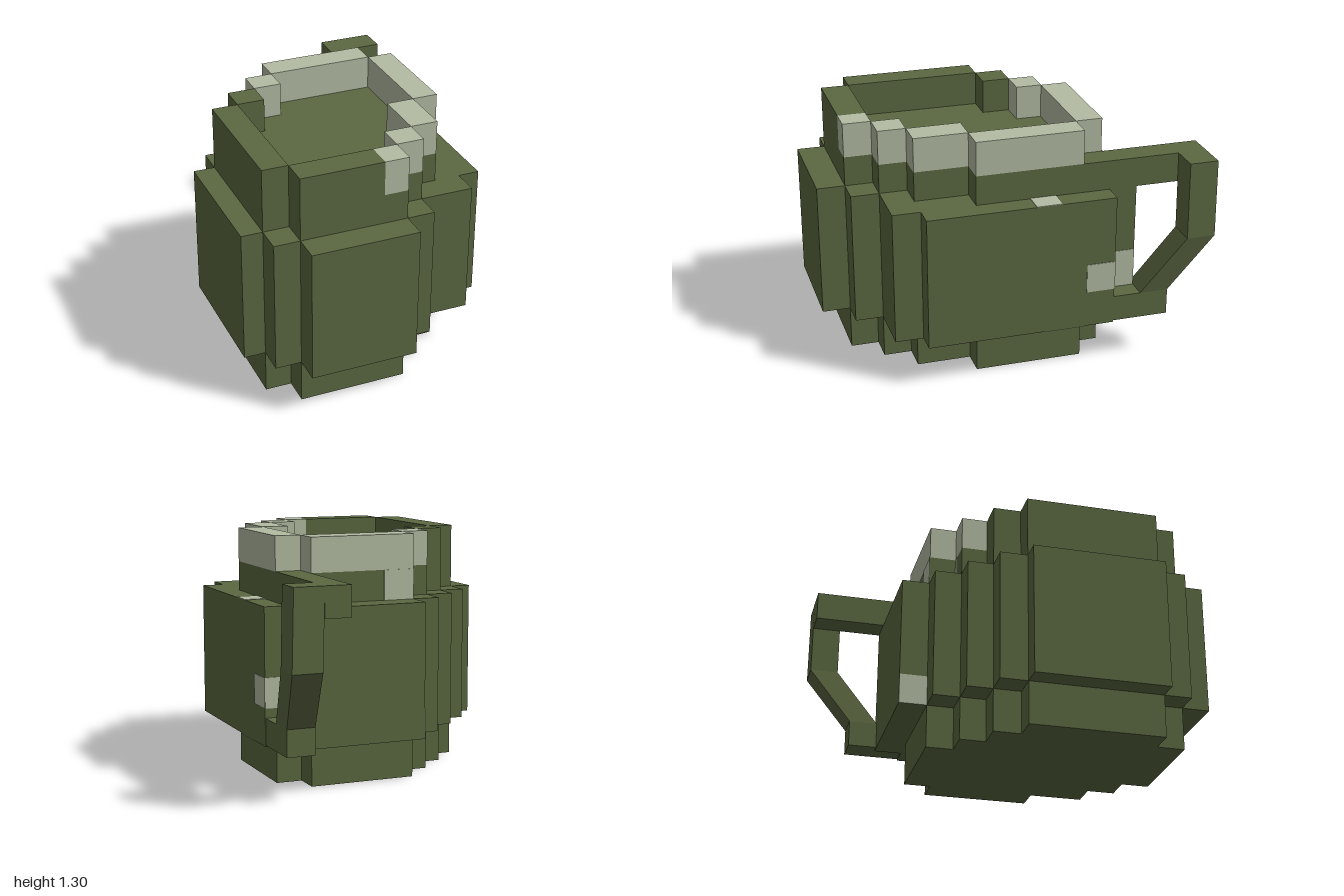
import * as THREE from 'three';

export function createModel() {
  const root = new THREE.Group();
  const green = new THREE.MeshStandardMaterial({ color: 0x5b6841 });
  green.name = 'mossGreen';
  const pale = new THREE.MeshStandardMaterial({ color: 0xb3bca3 });
  pale.name = 'paleSage';

  const add = (name, geometry, material) => {
    const mesh = new THREE.Mesh(geometry, material);
    mesh.name = name;
    root.add(mesh);
    return mesh;
  };

  // box given by its limits on each axis
  const block = (name, x0, x1, y0, y1, z0, z1, material) => {
    const g = new THREE.BoxGeometry(x1 - x0, y1 - y0, z1 - z0);
    g.translate((x0 + x1) / 2, (y0 + y1) / 2, (z0 + z1) / 2);
    return add(name, g, material);
  };

  // solid with a stepped outline; each column is [x0, x1, zBack, zFront]
  const steppedSolid = (name, columns, y0, y1) => {
    const back = [], front = [];
    for (const [x0, x1, zb, zf] of columns) {
      back.push(new THREE.Vector2(x0, -zb), new THREE.Vector2(x1, -zb));
      front.push(new THREE.Vector2(x0, -zf), new THREE.Vector2(x1, -zf));
    }
    const points = [...front, ...back.reverse()];
    const unique = points.filter((p, i) => !p.equals(points[(i + 1) % points.length]));
    const g = new THREE.ExtrudeGeometry(new THREE.Shape(unique), { depth: y1 - y0, bevelEnabled: false });
    g.rotateX(-Math.PI / 2);
    g.translate(0, y0, 0);
    return add(name, g, green);
  };

  const LOW = 0.235, SHOULDER = 0.96, FLOOR = 1.12, TOP = 1.305;

  // narrow outline shared by the foot and the neck
  const narrow = [
    [-0.61, -0.47, -0.03, 0.70], [-0.47, -0.32, -0.18, 0.85],
    [-0.32, -0.17, -0.32, 0.85], [-0.17, 0.11, -0.465, 0.85],
    [0.11, 0.26, -0.465, 0.70], [0.26, 0.41, -0.465, 0.55],
    [0.41, 0.55, -0.32, 0.26],
  ];
  // wide outline of the belly
  const wide = [
    [-0.725, -0.61, -0.03, 0.70], [-0.61, -0.47, -0.18, 0.85],
    [-0.47, -0.32, -0.32, 1.0], [-0.32, -0.17, -0.465, 1.0],
    [-0.17, 0.11, -0.615, 1.0], [0.11, 0.26, -0.615, 0.85],
    [0.26, 0.55, -0.615, 0.70], [0.55, 0.665, -0.465, 0.55],
  ];
  steppedSolid('foot', narrow, 0, LOW);
  steppedSolid('belly', wide, LOW, SHOULDER);
  steppedSolid('neck', narrow, SHOULDER, FLOOR);

  // rim around the hollow
  const paleRim = [
    [0.41, 0.55, -0.32, 0.26], [0.26, 0.41, 0.26, 0.55], [0.11, 0.26, 0.55, 0.70],
    [-0.02, 0.11, 0.70, 0.85], [-0.17, 0.41, -0.465, -0.32], [-0.32, -0.17, -0.32, -0.18],
  ];
  const greenRim = [
    [-0.47, -0.32, -0.18, -0.03], [-0.61, -0.47, -0.03, 0.70], [-0.47, -0.02, 0.70, 0.85],
  ];
  for (const [x0, x1, z0, z1] of paleRim) block('paleRim', x0, x1, FLOOR, TOP, z0, z1, pale);
  for (const [x0, x1, z0, z1] of greenRim) block('greenRim', x0, x1, FLOOR, TOP, z0, z1, green);

  // handle: top bar, corner, bent grip and lower bar
  block('handleTopBar', 0.41, 0.55, SHOULDER, FLOOR, -1, -0.32, green);
  block('handleLowerBar', 0.51, 0.662, 0.242, 0.385, -0.62, -0.46, green);
  // grip sections from bottom to top: [x0, x1, y, zBack, zFront]
  const sections = [
    [0.51, 0.662, 0.242, -0.77, -0.615], [0.51, 0.662, 0.385, -0.77, -0.615],
    [0.56, 0.72, 0.70, -1, -0.845], [0.55, 0.71, FLOOR, -1, -0.845],
  ];
  const grip = new THREE.BoxGeometry(1, 3, 1, 1, 3, 1);
  const p = grip.attributes.position;
  for (let i = 0; i < p.count; i++) {
    const [x0, x1, y, zb, zf] = sections[Math.round(p.getY(i) + 1.5)];
    p.setXYZ(i, p.getX(i) < 0 ? x0 : x1, y, p.getZ(i) < 0 ? zb : zf);
  }
  const flatGrip = grip.toNonIndexed();
  flatGrip.computeVertexNormals();
  add('handleGrip', flatGrip, green);

  // pale drips and patches, as thin plates
  const t = 0.003;
  block('neckBackDrip', -0.17, 0.0, SHOULDER, FLOOR, -0.465 - t, -0.465, pale);
  block('neckStepDrip', -0.21, -0.17, SHOULDER, FLOOR, -0.32 - t, -0.32, pale);
  block('shoulderPatch', 0.55, 0.665, SHOULDER, SHOULDER + t, -0.17, -0.03, pale);
  block('undersidePatch', 0.55, 0.665, LOW - t, LOW, -0.30, -0.08, pale);
  block('sidePatch', 0.665, 0.665 + t, 0.435, 0.595, -0.465, -0.31, pale);
  block('sideReturnPatch', 0.55, 0.665, 0.435, 0.595, -0.465 - t, -0.465, pale);
  block('innerSidePatch', 0.55, 0.55 + t, 0.385, 0.595, -0.615, -0.465, pale);
  block('backCornerPatch', -0.17 - t, -0.17, LOW, 0.40, -0.615, -0.465, pale);

  return root;
}
